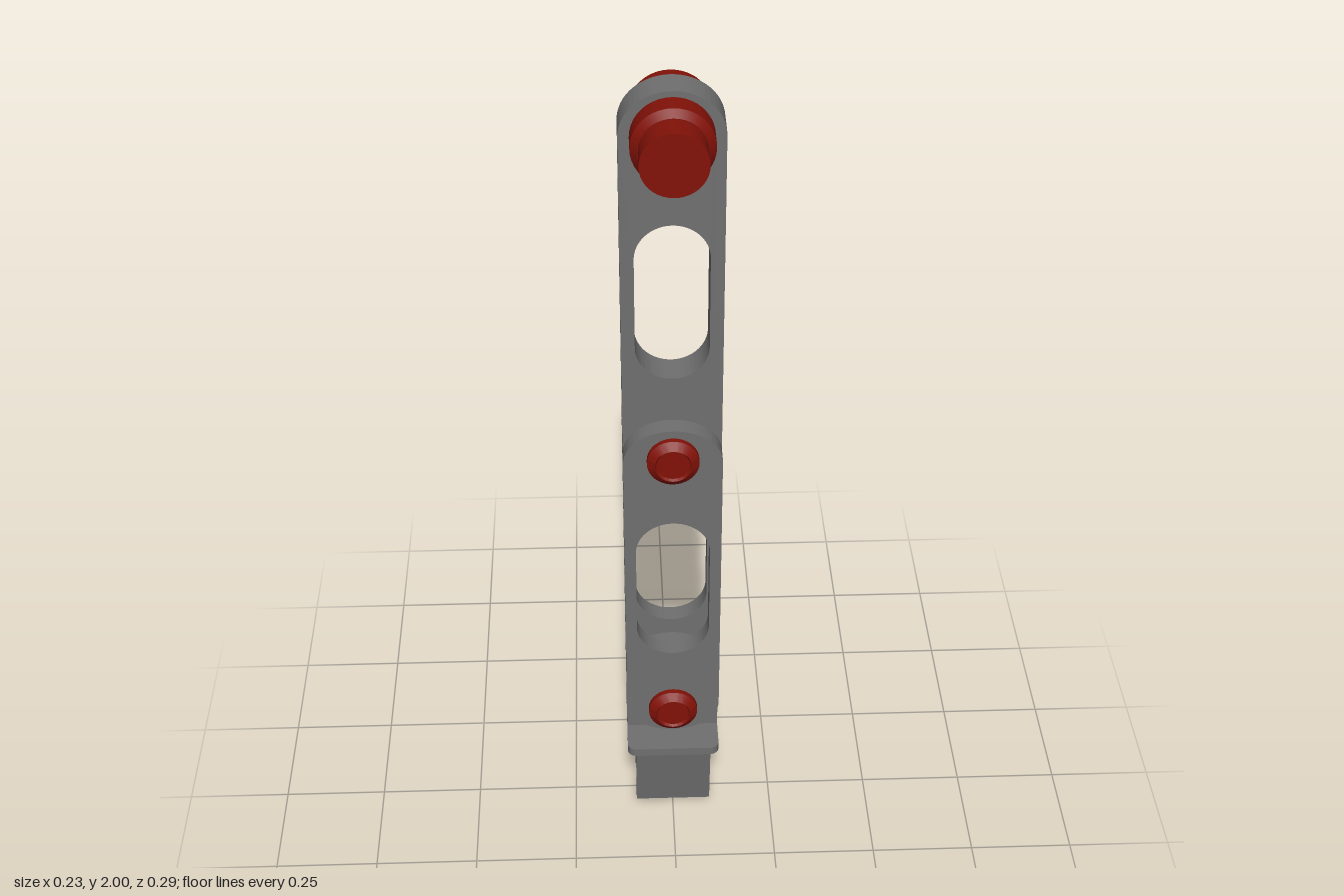
import * as THREE from 'three';
import { toCreasedNormals } from 'three/addons/utils/BufferGeometryUtils.js';

const grey = new THREE.MeshStandardMaterial({ color: 0x707070 });
const red = new THREE.MeshStandardMaterial({ color: 0x821208 });
const MID = -0.019; // depth of the arm's centre plane
const HALF = 0.114; // half width of every link

function add(parent, name, geometry, material) {
  const mesh = new THREE.Mesh(toCreasedNormals(geometry, 0.4), material);
  mesh.name = name;
  parent.add(mesh);
  return mesh;
}

// Upright bar with elliptical ends; a rise of 0 leaves that end square
function barOutline(target, w, bottom, top, riseBottom, riseTop) {
  target.moveTo(w, bottom + riseBottom);
  target.lineTo(w, top - riseTop);
  if (riseTop) target.absellipse(0, top - riseTop, w, riseTop, 0, Math.PI, false);
  else target.lineTo(-w, top);
  target.lineTo(-w, bottom + riseBottom);
  if (riseBottom) target.absellipse(0, bottom + riseBottom, w, riseBottom, Math.PI, Math.PI * 2, false);
  else target.lineTo(w, bottom);
  return target;
}

function link(parent, name, z0, z1, outline, slot) {
  const shape = barOutline(new THREE.Shape(), HALF, ...outline);
  if (slot) shape.holes.push(barOutline(new THREE.Path(), ...slot));
  const geometry = new THREE.ExtrudeGeometry(shape, { depth: z1 - z0, bevelEnabled: false, curveSegments: 32 });
  add(parent, name, geometry.translate(0, 0, z0), grey);
}

// Turned part lying along z; profile is [radius, z] from back to front
function turned(parent, name, y, profile) {
  const points = profile.map(([r, z]) => new THREE.Vector2(r, z));
  const geometry = new THREE.LatheGeometry(points, 40).rotateX(Math.PI / 2);
  add(parent, name, geometry, red).position.y = y;
}

export function createModel() {
  const model = new THREE.Group();
  model.name = 'articulatedArm';

  // Links: single upper arm and a pair of lower side plates
  link(model, 'upperArm', -0.058, 0.02, [0.974, 2, 0.1, 0.103], [0.083, 1.295, 1.687, 0.083, 0.083]);
  for (const [name, z0, z1] of [['frontPlate', 0.021, 0.067], ['backPlate', -0.105, -0.059]]) {
    link(model, name, z0, z1, [0.264, 1.183, 0.088, 0.088], [0.087, 0.519, 0.92, 0.085, 0.085]);
  }

  // Pivot bolts with chamfered, dimpled heads
  for (const [name, y] of [['elbowBolt', 1.104], ['wristBolt', 0.339]]) {
    turned(model, name, y, [
      [0, -0.127], [0.038, -0.127], [0.042, -0.133], [0.06, -0.118], [0.06, -0.1], [0.04, -0.1],
      [0.04, 0.062], [0.06, 0.062], [0.06, 0.08], [0.042, 0.094], [0.038, 0.088], [0, 0.088],
    ]);
  }

  // Shoulder knob with a smaller round stub at the front
  turned(model, 'shoulderKnob', 1.897, [
    [0, -0.119], [0.062, -0.119], [0.064, -0.125], [0.072, -0.125], [0.09, -0.107], [0.09, 0.07],
    [0.075, 0.086], [0.073, 0.086], [0.073, 0.147], [0, 0.147],
  ]);

  // Clip foot: tongue, rounded base plate and two snap legs
  const clip = new THREE.Group();
  clip.name = 'clip';
  model.add(clip);
  link(clip, 'tongue', -0.058, 0.02, [0.22, 0.477, 0, 0.1]);

  const d = 0.128, r = 0.022;
  const plate = new THREE.Shape();
  plate.absarc(HALF - r, d - r, r, 0, Math.PI / 2);
  plate.absarc(r - HALF, d - r, r, Math.PI / 2, Math.PI);
  plate.absarc(r - HALF, r - d, r, Math.PI, Math.PI * 1.5);
  plate.absarc(HALF - r, r - d, r, Math.PI * 1.5, Math.PI * 2);
  const plateGeometry = new THREE.ExtrudeGeometry(plate, { depth: 0.022, bevelEnabled: false, curveSegments: 8 });
  add(clip, 'basePlate', plateGeometry.rotateX(-Math.PI / 2), grey).position.set(0, 0.214, MID);

  // Leg section: distance from the centre plane, height
  const leg = new THREE.Shape([
    [0.048, 0.216], [0.046, 0.06], [0.041, 0.06], [0.041, 0.006], [0.052, 0], [0.064, 0.003], [0.096, 0.03], [0.125, 0.216],
  ].map(([x, y]) => new THREE.Vector2(x, y)));
  for (const side of [1, -1]) {
    const geometry = new THREE.ExtrudeGeometry(leg, { depth: 0.186, bevelEnabled: false }).translate(0, 0, -0.093);
    const mesh = add(clip, side > 0 ? 'frontLeg' : 'backLeg', geometry, grey);
    mesh.rotation.y = -side * Math.PI / 2;
    mesh.position.z = MID;
  }
  return model;
}
